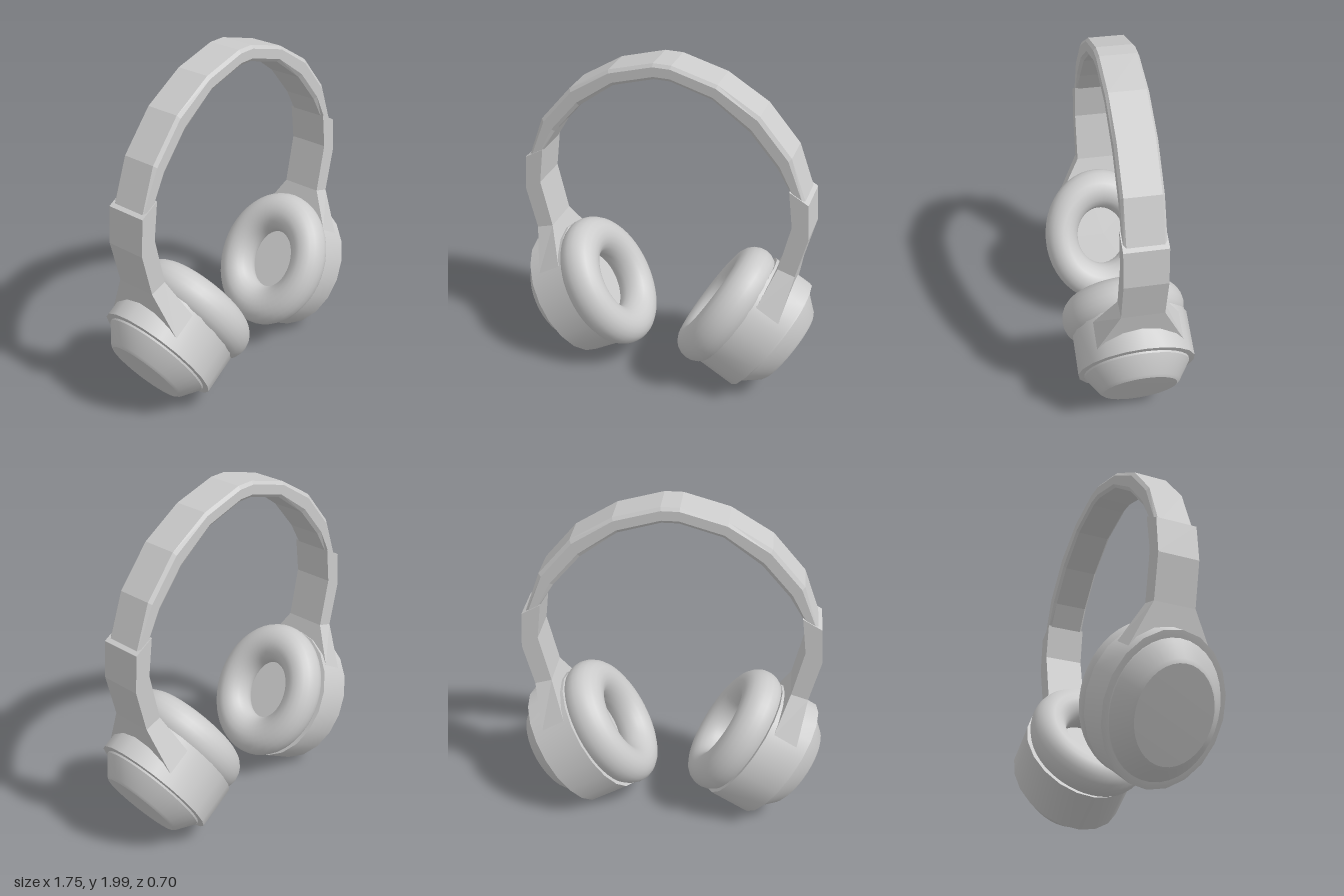
import * as THREE from 'three';
import { toCreasedNormals } from 'three/addons/utils/BufferGeometryUtils.js';

const MID_Z = -0.025; // depth centre of band and cups
const material = new THREE.MeshStandardMaterial({ color: 0xcccccc });

function addMesh(parent, name, geometry) {
  const mesh = new THREE.Mesh(geometry, material);
  mesh.name = name;
  parent.add(mesh);
  return mesh;
}

// Faceted skin through a list of closed cross-sections, capped at both ends
function loft(sections) {
  const pos = [];
  const tri = (...pts) => pts.forEach((p) => pos.push(...p));
  const n = sections[0].length;
  for (let i = 0; i < sections.length - 1; i++) {
    for (let j = 0; j < n; j++) {
      const k = (j + 1) % n;
      const a = sections[i][j], b = sections[i][k];
      const c = sections[i + 1][k], d = sections[i + 1][j];
      tri(a, b, c);
      tri(a, c, d);
    }
  }
  const first = sections[0], last = sections[sections.length - 1];
  for (let j = 1; j < n - 1; j++) {
    tri(first[0], first[j + 1], first[j]);
    tri(last[0], last[j], last[j + 1]);
  }
  const geometry = new THREE.BufferGeometry();
  geometry.setAttribute('position', new THREE.Float32BufferAttribute(pos, 3));
  geometry.computeVertexNormals();
  return geometry;
}

// Bevelled strap section between an inner and an outer point
function section([ix, iy, ox, oy, half], bevel) {
  const u = bevel > 0 ? 0.2 : 0;
  const profile = bevel > 0
    ? [[0, half - bevel], [u, half], [1 - u, half], [1, half - bevel]]
    : [[0, half], [1, half]];
  const loop = [...profile, ...profile.slice().reverse().map(([t, z]) => [t, -z])];
  return loop.map(([t, z]) => [ix + (ox - ix) * t, iy + (oy - iy) * t, MID_Z + z]);
}

const mirrorRow = ([ix, iy, ox, oy, h]) => [-ix, iy, -ox, oy, h];

// Rows: inner x, inner y, outer x, outer y, half width
const bandRows = [
  [0.722, 1.37, 0.81, 1.31, 0.111],
  [0.635, 1.515, 0.71, 1.58, 0.111],
  [0.48, 1.695, 0.53, 1.79, 0.111],
  [0.275, 1.845, 0.3, 1.93, 0.111],
  [0.045, 1.912, 0.05, 2.0, 0.111],
];
const armRows = [
  [0.6, 0.7, 0.73, 0.62, 0.236],
  [0.68, 0.9, 0.777, 0.87, 0.117],
  [0.74, 1.18, 0.835, 1.12, 0.117],
  [0.712, 1.392, 0.82, 1.33, 0.117],
];

function makeEarcup(side) {
  const cup = new THREE.Group();
  cup.name = side > 0 ? 'leftEarcup' : 'rightEarcup';
  // Local y is the outward axis of the cup
  cup.position.set(side * 0.64, 0.355, 0);
  cup.rotation.z = -side * THREE.MathUtils.degToRad(121.3);

  const lathe = (points, sides, crease) => toCreasedNormals(
    new THREE.LatheGeometry(points.map(([r, y]) => new THREE.Vector2(r, y)), sides)
      .scale(1, 1, 0.815).translate(0, 0, MID_Z), crease);

  addMesh(cup, 'housing', lathe(
    [[0, -0.25], [0.403, -0.25], [0.403, 0], [0.37, 0.003], [0, 0.003]], 20, 0.5));
  addMesh(cup, 'outerCap', lathe(
    [[0.362, 0], [0.36, 0.014], [0.276, 0.11], [0.255, 0.122], [0, 0.126]], 36, 0.4));

  // Oval padded ring around the ear opening
  const cushion = new THREE.TorusGeometry(0.295, 0.12, 20, 48);
  cushion.rotateX(Math.PI / 2).scale(1, 0.97, 0.84).translate(0, -0.32, 0);
  addMesh(cup, 'earCushion', cushion);
  return cup;
}

export function createModel() {
  const model = new THREE.Group();
  model.name = 'headphones';

  // Headband arch from one side over the top to the other
  const arch = [...bandRows, ...bandRows.map(mirrorRow).reverse()];
  addMesh(model, 'headband', loft(arch.map((row) => section(row, 0.014))));

  for (const side of [1, -1]) {
    // Arm that flares into the cup housing
    const rows = side > 0 ? armRows : armRows.map(mirrorRow).reverse();
    addMesh(model, side > 0 ? 'leftArm' : 'rightArm', loft(rows.map((row) => section(row, 0))));
    model.add(makeEarcup(side));
  }
  return model;
}
